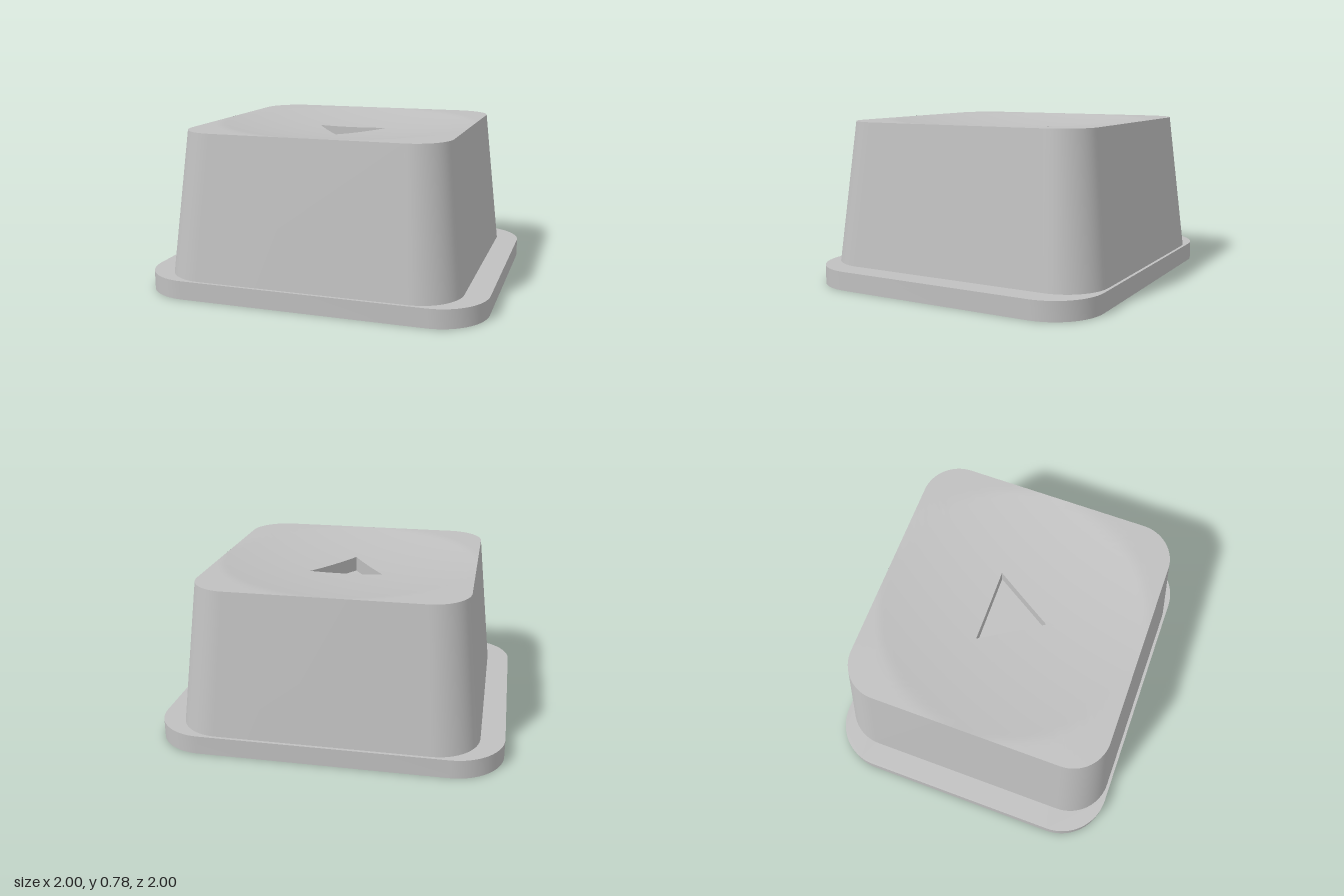
import * as THREE from 'three';
import { toCreasedNormals } from 'three/addons/utils/BufferGeometryUtils.js';

const PLATE_TOP = 0.09, BODY_TOP = 0.78;
const DISH_RADIUS = 0.64, DISH_DEPTH = 0.05;
const POCKET_FLOOR = 0.66, BORE_RADIUS = 0.225, BORE_DEPTH = 0.15;

// Rounded rectangle outline, counter-clockwise, in plan (plan y = -z)
function roundedRect(hx, hy, r, steps = 16) {
  const points = [];
  [[1, 1], [-1, 1], [-1, -1], [1, -1]].forEach(([sx, sy], corner) => {
    for (let i = 0; i <= steps; i++) {
      const a = (corner + i / steps) * Math.PI / 2;
      points.push(new THREE.Vector2(sx * (hx - r) + r * Math.cos(a), sy * (hy - r) + r * Math.sin(a)));
    }
  });
  return points;
}

// Point where a ray from the origin leaves a polygon
function rayHit(polygon, angle) {
  const d = new THREE.Vector2(Math.cos(angle), Math.sin(angle));
  for (let i = 0; i < polygon.length; i++) {
    const a = polygon[i], e = polygon[(i + 1) % polygon.length].clone().sub(a);
    const den = d.cross(e);
    if (Math.abs(den) < 1e-9) continue;
    const t = a.cross(e) / den, u = a.cross(d) / den;
    if (t > 0 && u >= -1e-6 && u <= 1 + 1e-6) return d.clone().multiplyScalar(t);
  }
  return d.multiplyScalar(0);
}

// Surface through closed rings of [x, y, z] points
function loft(rings) {
  const n = rings[0].length, index = [];
  for (let j = 0; j < rings.length - 1; j++) {
    for (let i = 0; i < n; i++) {
      const k = (i + 1) % n, a = j * n + i, b = j * n + k;
      index.push(a, b, b + n, a, b + n, a + n);
    }
  }
  const g = new THREE.BufferGeometry();
  g.setAttribute('position', new THREE.Float32BufferAttribute(rings.flat(2), 3));
  g.setIndex(index);
  return toCreasedNormals(g, 0.5);
}

const ring = (points, height) => points.map((p) => [p.x, height(p), -p.y]);
const dishHeight = (p) => BODY_TOP - DISH_DEPTH * Math.max(0, 1 - p.lengthSq() / DISH_RADIUS ** 2);

export function createModel() {
  const model = new THREE.Group();
  model.name = 'buttonCap';
  const grey = new THREE.MeshStandardMaterial({ color: 0xc0c0c0, side: THREE.DoubleSide });
  grey.name = 'grey';
  const add = (name, geometry) => {
    const mesh = new THREE.Mesh(geometry, grey);
    mesh.name = name;
    model.add(mesh);
    return mesh;
  };

  // Base flange with the square recess cut through it
  const recess = roundedRect(0.35, 0.35, 0.04, 6);
  const flange = new THREE.Shape(roundedRect(0.827, 0.728, 0.24));
  flange.holes.push(new THREE.Path(recess));
  const flangeGeometry = new THREE.ExtrudeGeometry(flange, { depth: PLATE_TOP, bevelEnabled: false });
  add('baseFlange', toCreasedNormals(flangeGeometry.rotateX(-Math.PI / 2), 0.5));

  // Tapered body walls
  const topOutline = roundedRect(0.638, 0.638, 0.18);
  add('bodyWalls', loft([
    ring(roundedRect(0.713, 0.713, 0.21), () => PLATE_TOP),
    ring(topOutline, () => BODY_TOP),
  ]));

  // Dished top, running in from the outline to the triangular pocket
  const triangle = [[-0.05, 0.215], [-0.125, -0.12], [0.21, -0.04]].map(([x, y]) =>
    new THREE.Vector2(x, y).rotateAround(new THREE.Vector2(), Math.PI / 4));
  const angles = [...topOutline, ...triangle].map((p) => p.angle());
  for (let i = 0; i < 120; i++) angles.push((i + 0.37) * Math.PI / 60);
  angles.sort((a, b) => a - b);
  const outer = angles.map((a) => rayHit(topOutline, a));
  const inner = angles.map((a) => rayHit(triangle, a));
  const rings = [];
  for (let j = 0; j <= 24; j++) {
    rings.push(ring(outer.map((p, i) => p.clone().lerp(inner[i], j / 24)), dishHeight));
  }
  add('dishedTop', loft(rings));

  // Triangular pocket in the dish
  add('pocketWalls', loft([ring(inner, dishHeight), ring(inner, () => POCKET_FLOOR)]));
  const floor = new THREE.ShapeGeometry(new THREE.Shape(triangle)).rotateX(-Math.PI / 2);
  add('pocketFloor', floor).position.y = POCKET_FLOOR;

  // Underside: recess ceiling with a round blind bore
  const ceiling = new THREE.Shape(recess);
  ceiling.holes.push(new THREE.Path().absarc(0, 0, BORE_RADIUS, 0, Math.PI * 2, true));
  add('recessCeiling', new THREE.ShapeGeometry(ceiling, 32).rotateX(Math.PI / 2)).position.y = PLATE_TOP;
  const bore = new THREE.CylinderGeometry(BORE_RADIUS, BORE_RADIUS, BORE_DEPTH, 64, 1, true);
  add('boreWall', bore).position.y = PLATE_TOP + BORE_DEPTH / 2;
  const boreEnd = new THREE.CircleGeometry(BORE_RADIUS, 64).rotateX(Math.PI / 2);
  add('boreEnd', boreEnd).position.y = PLATE_TOP + BORE_DEPTH;

  // The cap sits diagonally
  model.rotation.y = -Math.PI / 4;
  const root = new THREE.Group();
  root.name = 'cap';
  root.add(model);
  return root;
}
